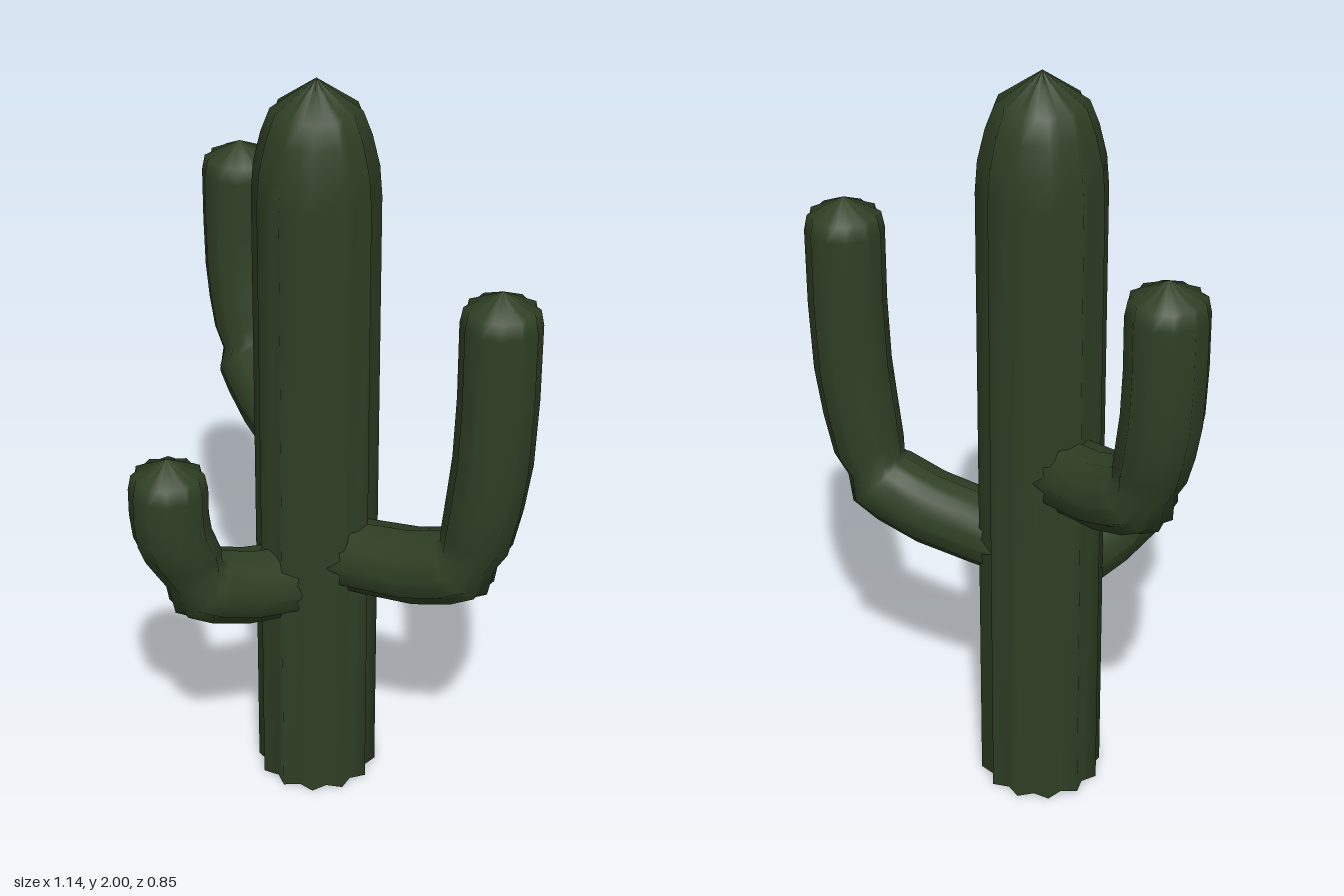
import * as THREE from 'three';

const RIBS = 12;

// Ribbed tube through rings [s, y, radius, tilt in degrees] lying in the x-y plane
function ribbedTube(rings, valley) {
  const n = RIBS * 2, pos = [], idx = [];
  rings.forEach(([s, y, r, deg], i) => {
    const a = THREE.MathUtils.degToRad(deg);
    for (let j = 0; j < n; j++) {
      const t = (j / n) * Math.PI * 2;
      const k = r * (j % 2 ? valley : 1);
      const u = k * Math.cos(t);
      pos.push(s - Math.sin(a) * u, y + Math.cos(a) * u, k * Math.sin(t));
      if (i === rings.length - 1) continue;
      const p = i * n + j, q = i * n + ((j + 1) % n);
      idx.push(p, q, q + n);
      if (rings[i + 1][2] > 0) idx.push(p, q + n, p + n);
    }
  });
  const geo = new THREE.BufferGeometry();
  geo.setAttribute('position', new THREE.Float32BufferAttribute(pos, 3));
  geo.setIndex(idx);
  geo.computeVertexNormals();
  return geo;
}

// Arm: nearly level base, pinched elbow, then an upright with a pointed cap
function armRings(reach, elbowY, tipY) {
  const lower = [
    [-0.47, -0.14, 0.098, 10], [-0.37, -0.127, 0.098, 10], [-0.22, -0.1, 0.1, 13],
    [-0.125, -0.065, 0.1, 25], [-0.08, -0.04, 0.1, 45], [-0.065, 0, 0.08, 65],
    [-0.045, 0.05, 0.093, 75],
  ].map(([s, y, r, a]) => [reach + s, elbowY + y, r, a]);
  const start = elbowY + 0.05, end = tipY - 0.085;
  const upper = [
    [-0.025, 0.18, 0.098, 78], [-0.008, 0.38, 0.1, 84], [0, 0.67, 0.1, 90], [0, 1, 0.1, 90],
  ].map(([s, f, r, a]) => [reach + s, start + (end - start) * f, r, a]);
  const cap = [[reach, tipY - 0.045, 0.092, 90], [reach, tipY, 0, 90]];
  return [...lower, ...upper, ...cap];
}

export function createModel() {
  const model = new THREE.Group();
  model.name = 'cactus';
  const green = new THREE.MeshStandardMaterial({ color: 0x2f3f24, side: THREE.DoubleSide });
  green.name = 'cactusGreen';

  const add = (name, geo, turn = 0) => {
    const mesh = new THREE.Mesh(geo, green);
    mesh.name = name;
    mesh.position.set(-0.06, 0, -0.075);
    mesh.rotation.y = turn;
    model.add(mesh);
  };

  // Trunk, open at the bottom and tapering to a point
  const trunk = [
    [0, 0.16], [1.7, 0.16], [1.78, 0.154], [1.86, 0.135], [1.92, 0.112], [2, 0],
  ].map(([y, r]) => [0, y, r, 90]);
  add('trunk', ribbedTube(trunk, 0.86));

  // Arms: name, offset of the upright from the trunk, elbow height, tip height
  [
    ['leftArm', 0.53, 0, 0.84, 1.585],
    ['rightArm', -0.412, -0.25, 1.095, 1.655],
    ['frontArm', -0.175, 0.4, 0.74, 1.09],
  ].forEach(([name, dx, dz, elbowY, tipY]) => {
    const rings = armRings(Math.hypot(dx, dz), elbowY, tipY);
    add(name, ribbedTube(rings, 0.88), Math.atan2(-dz, dx));
  });

  return model;
}
